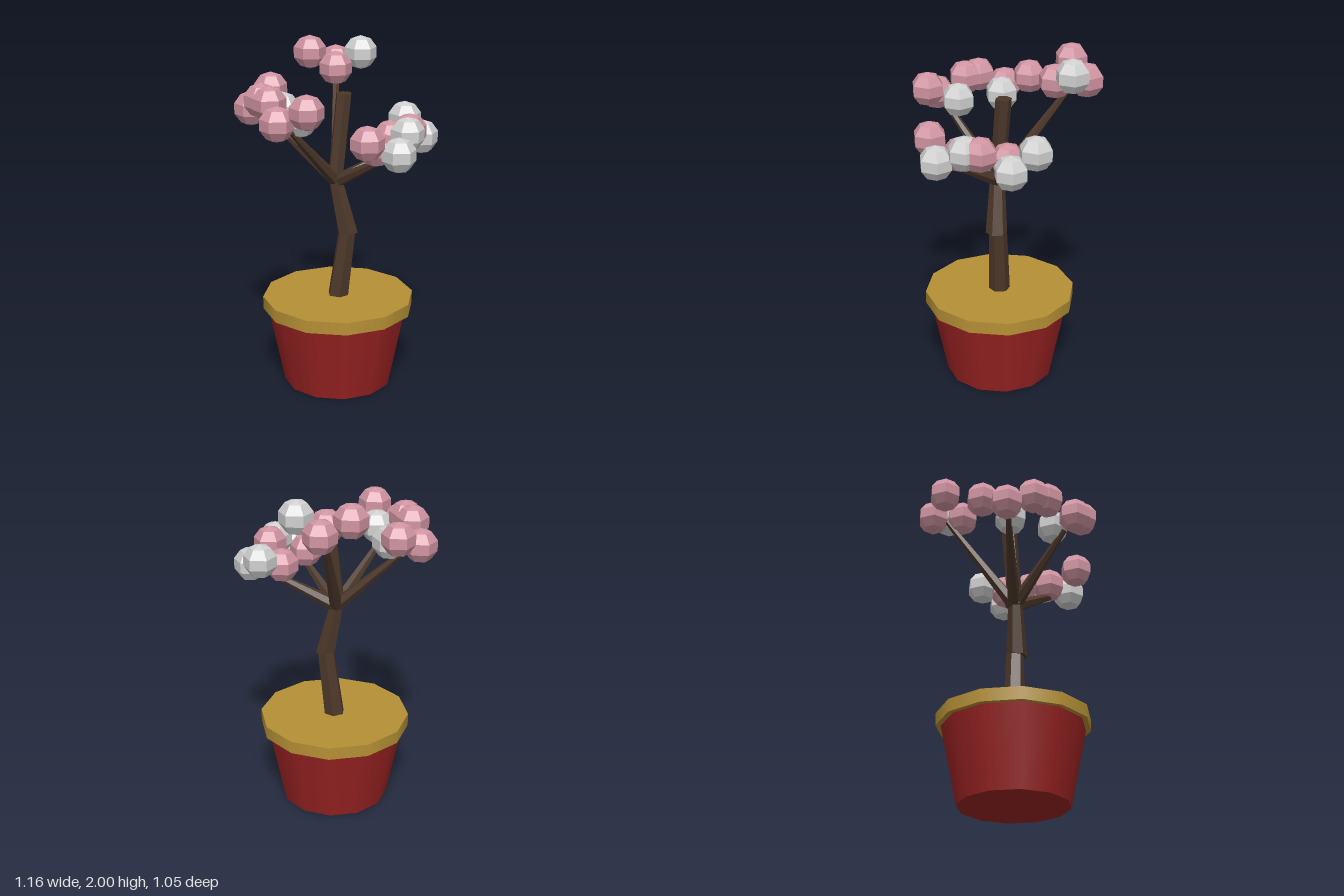
import * as THREE from 'three';

const mat = (name, color, flatShading = false) => {
  const m = new THREE.MeshStandardMaterial({ color, flatShading });
  m.name = name;
  return m;
};

export function createModel() {
  const red = mat('red clay', 0x9a2222);
  const gold = mat('gold soil and rim', 0xb59035);
  const bark = mat('brown bark', 0x4d382a, true);
  const pink = mat('pink blossom', 0xd094a2, true);
  const white = mat('white blossom', 0xcfd0cf, true);

  const model = new THREE.Group();
  model.name = 'pottedTree';
  const add = (name, geometry, material, x = 0, y = 0, z = 0) => {
    const mesh = new THREE.Mesh(geometry, material);
    mesh.name = name;
    mesh.position.set(x, y, z);
    model.add(mesh);
    return mesh;
  };

  // Pot and its twelve-sided rim
  add('pot', new THREE.CylinderGeometry(0.415, 0.32, 0.47, 12), red, 0, 0.235, 0.04);
  add('rim', new THREE.CylinderGeometry(0.443, 0.443, 0.075, 12), gold, 0, 0.4975, 0.04);

  // Trunk: leaning six-sided segments with level ends
  const trunk = (a, b, ra, rb) => {
    const h = b[1] - a[1];
    const g = new THREE.CylinderGeometry(rb, ra, h, 6);
    const p = g.attributes.position;
    for (let i = 0; i < p.count; i++) {
      const t = p.getY(i) / h + 0.5;
      p.setXYZ(i, p.getX(i) + a[0] + (b[0] - a[0]) * t, a[1] + h * t,
        p.getZ(i) + a[2] + (b[2] - a[2]) * t);
    }
    add('trunk', g, bark);
  };
  trunk([0, 0.52, 0.042], [0.052, 0.94, 0.055], 0.063, 0.052);
  trunk([0.054, 0.93, 0.065], [-0.018, 1.26, 0.05], 0.063, 0.042);
  trunk([-0.018, 1.23, 0.05], [0.035, 1.74, 0.02], 0.045, 0.046);

  // Branches fan out from the fork, each carrying four blossoms
  const fork = new THREE.Vector3(-0.01, 1.23, 0.045);
  const up = new THREE.Vector3(0, 1, 0);
  const blossom = new THREE.SphereGeometry(0.1, 6, 5);
  const P = pink, W = white;
  const clusters = [
    { tip: [0.03, 1.8, -0.36], balls: [
      [0.04, 1.83, -0.445, P], [-0.12, 1.9, -0.385, P], [0.02, 1.825, -0.27, P], [0.175, 1.9, -0.34, W]] },
    { tip: [-0.39, 1.6, -0.03], balls: [
      [-0.365, 1.73, -0.18, P], [-0.485, 1.65, -0.05, P], [-0.31, 1.65, -0.01, W], [-0.435, 1.73, 0.11, P]] },
    { tip: [-0.29, 1.6, 0.31], balls: [
      [-0.395, 1.73, 0.195, P], [-0.23, 1.65, 0.25, W], [-0.365, 1.655, 0.36, P], [-0.21, 1.73, 0.425, P]] },
    { tip: [0.23, 1.44, 0.34], balls: [
      [0.115, 1.555, 0.44, P], [0.185, 1.48, 0.28, P], [0.29, 1.48, 0.42, W], [0.36, 1.555, 0.27, W]] },
    { tip: [0.39, 1.44, 0.04], balls: [
      [0.385, 1.555, 0.19, P], [0.3, 1.48, 0.03, P], [0.48, 1.48, 0.035, W], [0.405, 1.555, -0.11, W]] },
  ];
  for (const { tip, balls } of clusters) {
    const end = new THREE.Vector3(...tip);
    const dir = end.clone().sub(fork);
    const mid = fork.clone().add(end).multiplyScalar(0.5);
    const branch = add('branch', new THREE.CylinderGeometry(0.016, 0.04, dir.length(), 6), bark, mid.x, mid.y, mid.z);
    branch.quaternion.setFromUnitVectors(up, dir.normalize());
    for (const [x, y, z, m] of balls) add('blossom', blossom, m, x, y, z);
  }
  return model;
}
